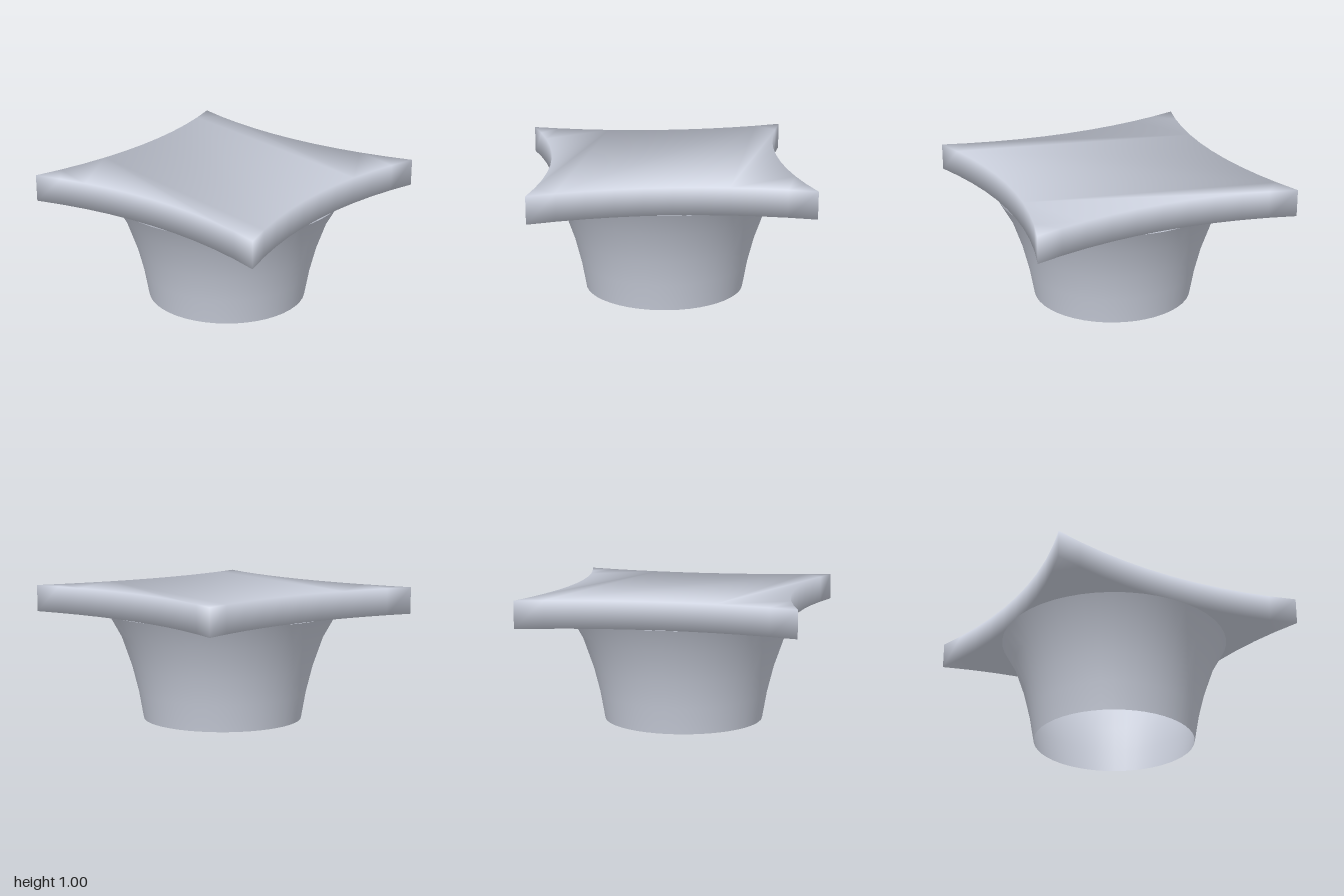
import * as THREE from 'three';

const grey = new THREE.MeshStandardMaterial({ color: 0xccd1de, side: THREE.DoubleSide });
grey.name = 'pale grey';

const STEPS = 10;          // segments along each side of the board
const RING = STEPS * 4;

// Outline point k of the board, with its outward direction and cap weight
function outline(k) {
  const side = Math.floor(k / STEPS), t = -1 + 2 * (k % STEPS) / STEPS;
  const p = new THREE.Vector3(t, 0, -(0.842 + 0.158 * t * t));
  const corner = t === -1;
  const out = corner ? new THREE.Vector3(-1, 0, -1) : new THREE.Vector3(-0.316 * t, 0, -1);
  out.normalize().multiplyScalar(corner ? 1.5 : 1);
  const turn = new THREE.Vector3(0, 1, 0), angle = -side * Math.PI / 2;
  return { p: p.applyAxisAngle(turn, angle), out: out.applyAxisAngle(turn, angle) };
}

// Triangles of one flat face: each half turn has two corner ears and long fans
function faceTriangles() {
  const tris = [];
  for (const shift of [0, RING / 2]) {
    const tri = (...c) => tris.push(c.map(k => (k + shift) % RING));
    const fan = (apex, from, to) => {
      for (let k = from; k < to; k++) tri(apex, k, k + 1);
    };
    tri(19, 20, 21);
    tri(29, 30, 31);
    fan(19, 33, 39);
    tri(33, 19, 21);
    fan(33, 21, 28);
    tri(28, 29, 31);
    fan(28, 31, 33);
  }
  return tris;
}

// Flat board with inward-curving sides, its edges shaded softly all round
function boardGeometry(bottom, top) {
  const pos = [], nor = [], idx = [];
  for (const [y, up] of [[bottom, -1], [top, 1]]) {
    for (let k = 0; k < RING; k++) {
      const { p, out } = outline(k);
      pos.push(p.x, y, p.z);
      nor.push(...new THREE.Vector3(out.x, up, out.z).normalize().toArray());
    }
  }
  for (const [a, b, c] of faceTriangles()) {
    idx.push(a, b, c);
    idx.push(a + RING, c + RING, b + RING);
  }
  for (let k = 0; k < RING; k++) {
    const n = (k + 1) % RING;
    idx.push(k, k + RING, n, n, k + RING, n + RING);
  }
  const g = new THREE.BufferGeometry();
  g.setAttribute('position', new THREE.Float32BufferAttribute(pos, 3));
  g.setAttribute('normal', new THREE.Float32BufferAttribute(nor, 3));
  g.setIndex(idx);
  return g;
}

export function createModel() {
  const model = new THREE.Group();
  model.name = 'flatTopCap';
  const add = (geometry, name) => {
    const mesh = new THREE.Mesh(geometry, grey);
    mesh.name = name;
    model.add(mesh);
  };

  // Flared head band, open at both ends
  const profile = [
    [0.6, 0], [0.635, 0.2], [0.685, 0.4], [0.765, 0.63], [0.86, 0.8],
  ].map(([r, y]) => new THREE.Vector2(r, y));
  add(new THREE.LatheGeometry(profile, 48), 'headBand');

  // Board resting on the band
  add(boardGeometry(0.8, 1), 'board');
  return model;
}
